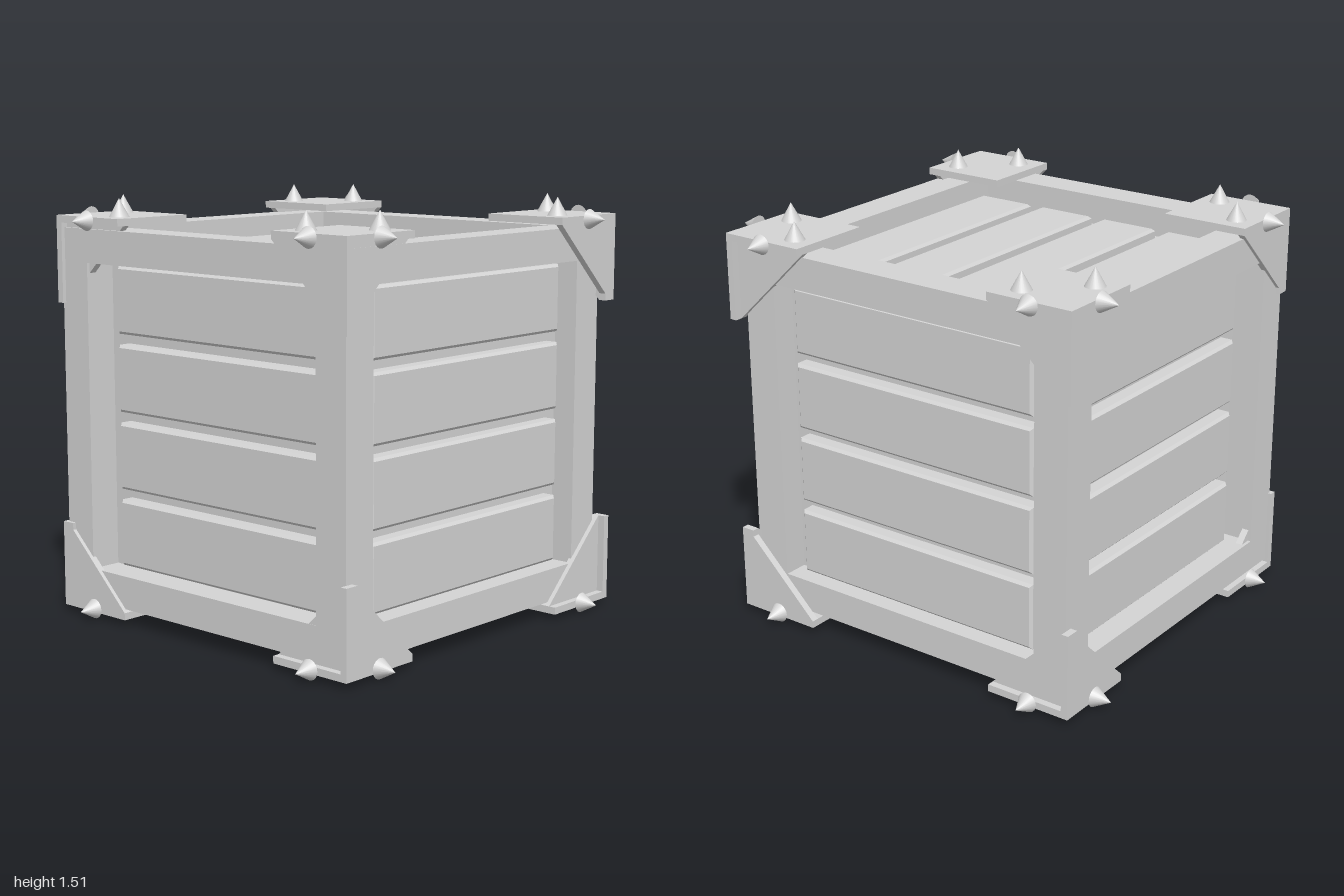
import * as THREE from 'three';

const grey = new THREE.MeshStandardMaterial({ color: 0xd4d4d4 });
grey.name = 'plainGrey';

const HALF = 0.679;     // frame half width
const HALF_Y = 0.673;   // frame half height
const POST = 0.13;      // frame post thickness
const BAR = 0.12;       // height of the horizontal frame bars

function add(parent, geometry, name, x = 0, y = 0, z = 0) {
  const mesh = new THREE.Mesh(geometry, grey);
  mesh.name = name;
  mesh.position.set(x, y, z);
  parent.add(mesh);
  return mesh;
}

// Board with chamfered edges, lying in the xy plane, front at z = 0
function plankGeometry(w, h, depth, bevel) {
  const a = w / 2 - bevel, b = h / 2 - bevel;
  const shape = new THREE.Shape([
    new THREE.Vector2(-a, -b), new THREE.Vector2(a, -b),
    new THREE.Vector2(a, b), new THREE.Vector2(-a, b),
  ]);
  const geo = new THREE.ExtrudeGeometry(shape, {
    depth: depth - 2 * bevel, bevelEnabled: true,
    bevelSize: bevel, bevelThickness: bevel, bevelSegments: 1,
  });
  return geo.translate(0, 0, bevel - depth);
}

// Four parallel planks forming one face, facing +z
function makePanel(name, width, front, shift) {
  const panel = new THREE.Group();
  panel.name = name;
  const geo = plankGeometry(1.01, width, 0.07, 0.01);
  for (let i = 0; i < 4; i++) add(panel, geo, 'plank', shift, (i - 1.5) * 0.28, front);
  return panel;
}

// Corner bracket: outer corner at the origin, arms run to -x, -z and -y
function makeBracket(isTop) {
  const S = 0.325, T = 0.026, DROP = 0.312;
  const bracket = new THREE.Group();
  bracket.name = isTop ? 'topBracket' : 'bottomBracket';
  add(bracket, new THREE.BoxGeometry(S, T, S), 'bracketPlate', -S / 2, -T / 2, -S / 2);

  // Triangular side plates
  const gusset = new THREE.ExtrudeGeometry(new THREE.Shape([
    new THREE.Vector2(0, -T), new THREE.Vector2(-S, -T),
    new THREE.Vector2(-T, -DROP), new THREE.Vector2(0, -DROP),
  ]), { depth: T, bevelEnabled: false });
  add(bracket, gusset, 'bracketGusset', 0, 0, -T);
  add(bracket, gusset, 'bracketGusset').rotation.y = -Math.PI / 2;
  bracket.children.at(-1).position.x = 0;
  bracket.children.at(-1).translateZ(0);

  // Spikes on the outer edges, and on top of the upper brackets
  const spike = new THREE.ConeGeometry(0.036, 0.066, 20).translate(0, 0.033, 0);
  add(bracket, spike, 'spike', -S / 2, -0.013, 0).rotation.x = Math.PI / 2;
  add(bracket, spike, 'spike', 0, -0.013, -S / 2).rotation.z = -Math.PI / 2;
  if (isTop) {
    add(bracket, spike, 'spike', -S / 2 + 0.083, 0, -S / 2 - 0.083);
    add(bracket, spike, 'spike', -S / 2 - 0.083, 0, -S / 2 + 0.083);
  }
  bracket.children[2].position.x = -T;
  return bracket;
}

export function createModel() {
  const model = new THREE.Group();
  model.name = 'spikedCrate';

  // Frame, turned corner-on to the front
  const frame = new THREE.Group();
  frame.name = 'frame';
  frame.position.set(-0.02, 0.737, 0);
  frame.rotation.y = Math.PI / 4;
  model.add(frame);

  // Four posts, and four bars each at top and bottom
  const c = HALF - POST / 2, cy = HALF_Y - BAR / 2;
  const inner = 2 * (HALF - POST);
  const post = new THREE.BoxGeometry(POST, 2 * HALF_Y, POST);
  const barX = new THREE.BoxGeometry(inner, BAR, POST);
  const barZ = new THREE.BoxGeometry(POST, BAR, inner);
  for (const s of [-1, 1]) {
    for (const t of [-1, 1]) {
      add(frame, post, 'framePost', s * c, 0, t * c);
      add(frame, barX, 'frameBar', 0, s * cy, t * c);
      add(frame, barZ, 'frameBar', t * c, s * cy, 0);
    }
  }

  // Inner box with plank panels on all six faces
  const body = new THREE.Group();
  body.name = 'body';
  body.position.set(0, 0.74, 0);
  body.rotation.y = Math.PI / 4;
  model.add(body);
  add(body, new THREE.BoxGeometry(1.15, 1.12, 1.15), 'innerBox');
  for (let i = 0; i < 4; i++) {
    const side = makePanel('sidePanel', 0.241, 0.63, i % 2 ? 0.025 : -0.025);
    side.rotation.y = i * Math.PI / 2;
    body.add(side);
  }
  for (const s of [-1, 1]) {
    const panel = makePanel(s < 0 ? 'topPanel' : 'bottomPanel', 0.226, 0.6, -0.025);
    panel.rotation.x = s * Math.PI / 2;
    body.add(panel);
  }

  // Brackets on the eight corners; the lower ones are turned upside down
  const corners = [[1, 0], [-0.02, -1], [-1, 0], [-0.02, 0.995]];
  const flip = new THREE.Quaternion().setFromAxisAngle(
    new THREE.Vector3(1, 0, 1).normalize(), Math.PI);
  corners.forEach(([x, z], i) => {
    for (const isTop of [true, false]) {
      const bracket = makeBracket(isTop);
      bracket.position.set(x, isTop ? 1.453 : 0.028, z);
      bracket.rotation.y = Math.PI / 4 + i * Math.PI / 2;
      if (!isTop) bracket.quaternion.multiply(flip);
      model.add(bracket);
    }
  });
  return model;
}
